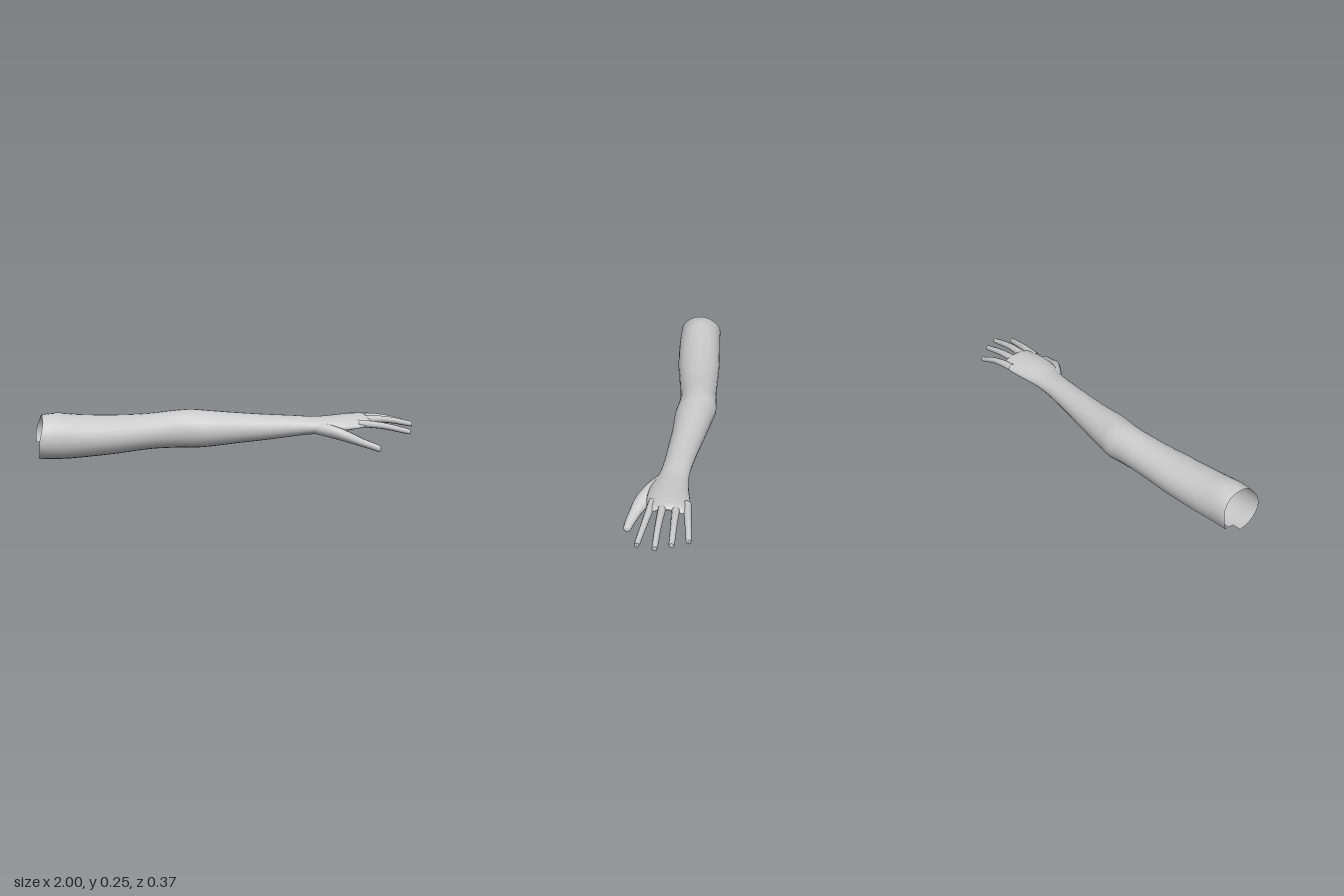
import * as THREE from 'three';

const skin = new THREE.MeshStandardMaterial({ color: 0xcacaca, side: THREE.DoubleSide });
skin.name = 'plain grey skin';

// Lofts oval rings along x. Station: [x, yMin, yMax, zMin, zMax, arch].
// skip(x, j) leaves a ring segment open; shift(x, angle) slides a rim point along x.
function loft(name, stations, sides, steps, { skip = () => false, shift = () => 0 } = {}) {
  const curve = (pick) => new THREE.CatmullRomCurve3(
    stations.map((s) => new THREE.Vector3(...pick(s))), false, 'catmullrom', 0.5);
  const centre = curve(([x, y0, y1, z0, z1]) => [x, (y0 + y1) / 2, (z0 + z1) / 2]);
  const radius = curve(([, y0, y1, z0, z1, arch = 0]) => [(y1 - y0) / 2, (z1 - z0) / 2, arch]);
  const rows = (stations.length - 1) * steps;
  const positions = [];
  const index = [];
  for (let i = 0; i <= rows; i++) {
    const c = centre.getPoint(i / rows);
    const r = radius.getPoint(i / rows);
    for (let j = 0; j < sides; j++) {
      const a = (j / sides) * Math.PI * 2;
      const cz = Math.cos(a);
      positions.push(c.x + shift(c.x, a), c.y + r.x * Math.sin(a) - r.z * cz * cz, c.z + r.y * cz);
      if (i === rows || skip(c.x, j)) continue;
      const k = (j + 1) % sides;
      const p = i * sides + j, q = i * sides + k;
      index.push(p, p + sides, q, q, p + sides, q + sides);
    }
  }
  const geometry = new THREE.BufferGeometry();
  geometry.setAttribute('position', new THREE.Float32BufferAttribute(positions, 3));
  geometry.setIndex(index);
  geometry.computeVertexNormals();
  const mesh = new THREE.Mesh(geometry, skin);
  mesh.name = name;
  return mesh;
}

// Finger path: points [x, y, z, radiusY, radiusZ], closed with a rounded tip
function digit(name, points, sides = 8) {
  const [x, y, z, ry, rz] = points[points.length - 1];
  const path = [...points, [x + 0.012, y - 0.002, z, ry * 0.7, rz * 0.7], [x + 0.015, y - 0.002, z, 0.001, 0.001]];
  return loft(name, path.map(([px, py, pz, a, b]) => [px, py - a, py + a, pz - b, pz + b]), sides, 3);
}

export function createModel() {
  const group = new THREE.Group();
  group.name = 'arm';

  // Upper arm, elbow, forearm and palm in one skin, open at the shoulder,
  // with a ragged opening along the lower back of the upper arm
  const sides = 24;
  group.add(loft('armAndPalm', [
    [-1.0, 0.03, 0.25, -0.14, 0.09],
    [-0.9, 0.02, 0.258, -0.143, 0.086],
    [-0.78, 0.02, 0.242, -0.153, 0.08],
    [-0.6, 0.025, 0.226, -0.165, 0.064],
    [-0.42, 0.034, 0.22, -0.17, 0.037],
    [-0.27, 0.028, 0.226, -0.177, 0.018],
    [-0.19, 0.022, 0.226, -0.185, 0.02],
    [-0.1, 0.026, 0.217, -0.172, 0.029],
    [0.05, 0.038, 0.2, -0.15, 0.026],
    [0.2, 0.05, 0.186, -0.127, 0.03],
    [0.36, 0.065, 0.173, -0.108, 0.036],
    [0.46, 0.074, 0.163, -0.105, 0.05],
    [0.54, 0.083, 0.165, -0.113, 0.075, 0.008],
    [0.62, 0.1, 0.168, -0.127, 0.082, 0.016],
    [0.69, 0.116, 0.167, -0.138, 0.075, 0.022],
    [0.735, 0.126, 0.163, -0.138, 0.066, 0.022],
    [0.755, 0.14, 0.15, -0.125, 0.055, 0.02],
    [0.757, 0.144, 0.146, -0.1, 0.035, 0.016],
  ], sides, 4, {
    skip: (x, j) => {
      if (x > -0.27) return false;
      const first = x > -0.36 ? 15 : 14;
      const last = x > -0.45 ? 15 : Math.sin(x * 23) > 0.3 ? 17 : 16;
      return j >= first && j <= last;
    },
    shift: (x, a) => (x < -0.99 ? 0.03 * Math.max(0, Math.sin(a)) : 0),
  }));

  // Thumb with its broad base
  group.add(digit('thumb', [
    [0.44, 0.115, 0.01, 0.03, 0.03],
    [0.52, 0.105, 0.055, 0.036, 0.042],
    [0.6, 0.083, 0.1, 0.032, 0.045],
    [0.67, 0.056, 0.132, 0.024, 0.032],
    [0.72, 0.038, 0.15, 0.021, 0.026],
    [0.758, 0.024, 0.16, 0.02, 0.02],
  ], 10));

  // Four fingers: [name, base, knuckle, tip] as x, y, z
  const fingers = [
    ['indexFinger', [0.68, 0.134, 0.045], [0.81, 0.118, 0.063], [0.945, 0.085, 0.085]],
    ['middleFinger', [0.69, 0.144, -0.008], [0.85, 0.134, -0.003], [0.985, 0.103, -0.002]],
    ['ringFinger', [0.69, 0.143, -0.07], [0.83, 0.132, -0.074], [0.955, 0.103, -0.077]],
    ['littleFinger', [0.68, 0.132, -0.118], [0.8, 0.122, -0.136], [0.9, 0.088, -0.15]],
  ];
  for (const [name, base, knuckle, tip] of fingers) {
    group.add(digit(name, [
      [...base, 0.02, 0.023],
      [...knuckle, 0.018, 0.017],
      [...tip, 0.015, 0.014],
    ]));
  }
  return group;
}
